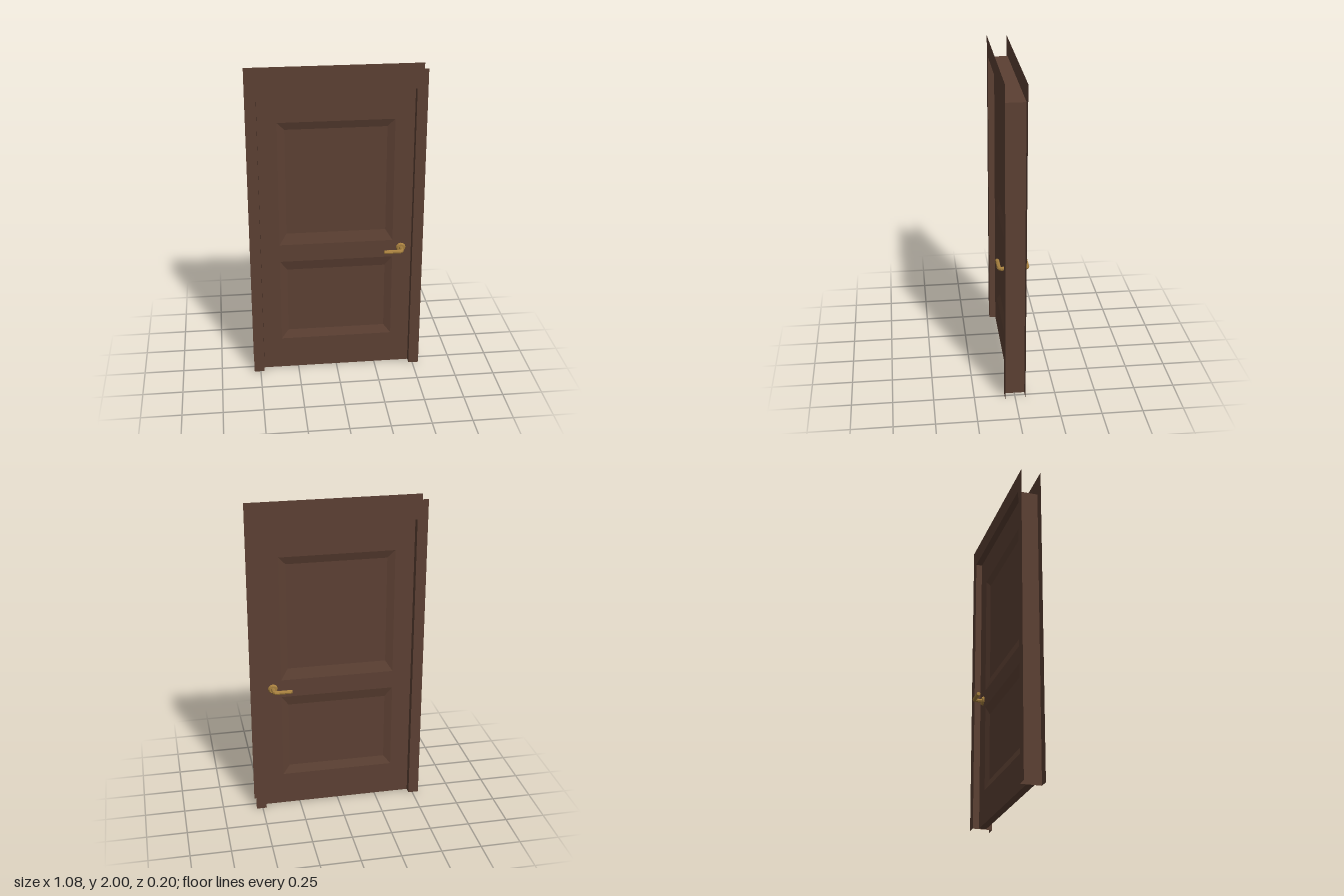
import * as THREE from 'three';

const HALF_DEPTH = 0.0625; // casing planes sit at +/- this z
const OPEN_X = 0.475, OPEN_Y = 1.88; // door opening
const FACE_Z = 0.023, RECESS = 0.017; // leaf face and panel recess depth

const wood = new THREE.MeshStandardMaterial({ color: 0x5c4033, side: THREE.DoubleSide, flatShading: true });
wood.name = 'dark wood';
const brass = new THREE.MeshStandardMaterial({ color: 0xa67f3e, flatShading: true });
brass.name = 'brass';

// outer rectangle and inner rectangle of each recessed panel: [halfWidth, bottom, top]
const panels = [
  { name: 'lowerPanel', outer: [0.355, 0.215, 0.77], inner: [0.31, 0.27, 0.705] },
  { name: 'upperPanel', outer: [0.355, 0.885, 1.685], inner: [0.31, 0.955, 1.635] },
];

const corners = ([w, b, t]) => [[-w, b], [w, b], [w, t], [-w, t]];
const polygon = (pts) => pts.map(([x, y]) => new THREE.Vector2(x, y));

function add(parent, name, geometry, material) {
  const mesh = new THREE.Mesh(geometry, material);
  mesh.name = name;
  parent.add(mesh);
  return mesh;
}

// sloped border and sunken field of one panel
function panelGeometry({ outer, inner }) {
  const o = corners(outer).map(([x, y]) => [x, y, FACE_Z]);
  const n = corners(inner).map(([x, y]) => [x, y, FACE_Z - RECESS]);
  const pos = [];
  const quad = (a, b, c, d) => pos.push(...a, ...b, ...c, ...a, ...c, ...d);
  for (let i = 0; i < 4; i++) {
    const j = (i + 1) % 4;
    quad(o[i], o[j], n[j], n[i]);
  }
  quad(...n);
  const g = new THREE.BufferGeometry();
  g.setAttribute('position', new THREE.Float32BufferAttribute(pos, 3));
  g.computeVertexNormals();
  return g;
}

// lever bent from a post, with a tapered rosette; side is +1 front, -1 back
function makeHandle(side) {
  const handle = new THREE.Group();
  handle.name = side > 0 ? 'frontHandle' : 'backHandle';
  const x = 0.408, y = 0.832, z = 0.085, r = 0.0125, bend = 0.018;
  const v = (px, pz) => new THREE.Vector3(px, y, pz * side);
  const path = new THREE.CurvePath();
  path.add(new THREE.LineCurve3(v(x, FACE_Z), v(x, z - bend)));
  path.add(new THREE.QuadraticBezierCurve3(v(x, z - bend), v(x, z), v(x - bend, z)));
  path.add(new THREE.LineCurve3(v(x - bend, z), v(0.295, z)));
  add(handle, 'lever', new THREE.TubeGeometry(path, 24, r, 8), brass);

  const cap = add(handle, 'leverEnd', new THREE.CircleGeometry(r, 8), brass);
  cap.rotation.y = -Math.PI / 2;
  cap.position.copy(v(0.295, z));

  const rosette = add(handle, 'rosette', new THREE.CylinderGeometry(0.024, 0.031, 0.012, 12), brass);
  rosette.rotation.x = side * Math.PI / 2;
  rosette.position.copy(v(x, FACE_Z + 0.006));
  return handle;
}

export function createModel() {
  const model = new THREE.Group();
  model.name = 'door';

  // flat casings on both faces of the wall
  const casing = new THREE.ShapeGeometry(new THREE.Shape(polygon([
    [-0.54, 0], [-OPEN_X, 0], [-OPEN_X, OPEN_Y], [OPEN_X, OPEN_Y],
    [OPEN_X, 0], [0.54, 0], [0.54, 2], [-0.54, 2],
  ])));
  for (const side of [1, -1]) {
    const m = add(model, side > 0 ? 'frontCasing' : 'backCasing', casing, wood);
    m.position.z = side * HALF_DEPTH;
    if (side < 0) m.rotation.y = Math.PI;
  }

  // thin jamb lining the opening
  for (const side of [1, -1]) {
    const jamb = add(model, side > 0 ? 'leftJamb' : 'rightJamb',
      new THREE.PlaneGeometry(2 * HALF_DEPTH, OPEN_Y), wood);
    jamb.position.set(side * OPEN_X, OPEN_Y / 2, 0);
    jamb.rotation.y = side * Math.PI / 2;
  }
  const head = add(model, 'headJamb', new THREE.PlaneGeometry(2 * OPEN_X, 2 * HALF_DEPTH), wood);
  head.position.y = OPEN_Y;
  head.rotation.x = -Math.PI / 2;

  // door leaf with openings for the panels
  const leaf = new THREE.Shape(polygon(corners([OPEN_X - 0.002, 0.003, OPEN_Y - 0.002])));
  for (const p of panels) leaf.holes.push(new THREE.Path(polygon(corners(p.outer))));
  const leafGeometry = new THREE.ExtrudeGeometry(leaf, { depth: 2 * FACE_Z, bevelEnabled: false });
  leafGeometry.translate(0, 0, -FACE_Z);
  add(model, 'doorLeaf', leafGeometry, wood);

  // recessed panels on both faces
  for (const p of panels) {
    const g = panelGeometry(p);
    add(model, p.name + 'Front', g, wood);
    add(model, p.name + 'Back', g, wood).rotation.y = Math.PI;
  }

  model.add(makeHandle(1), makeHandle(-1));
  return model;
}
